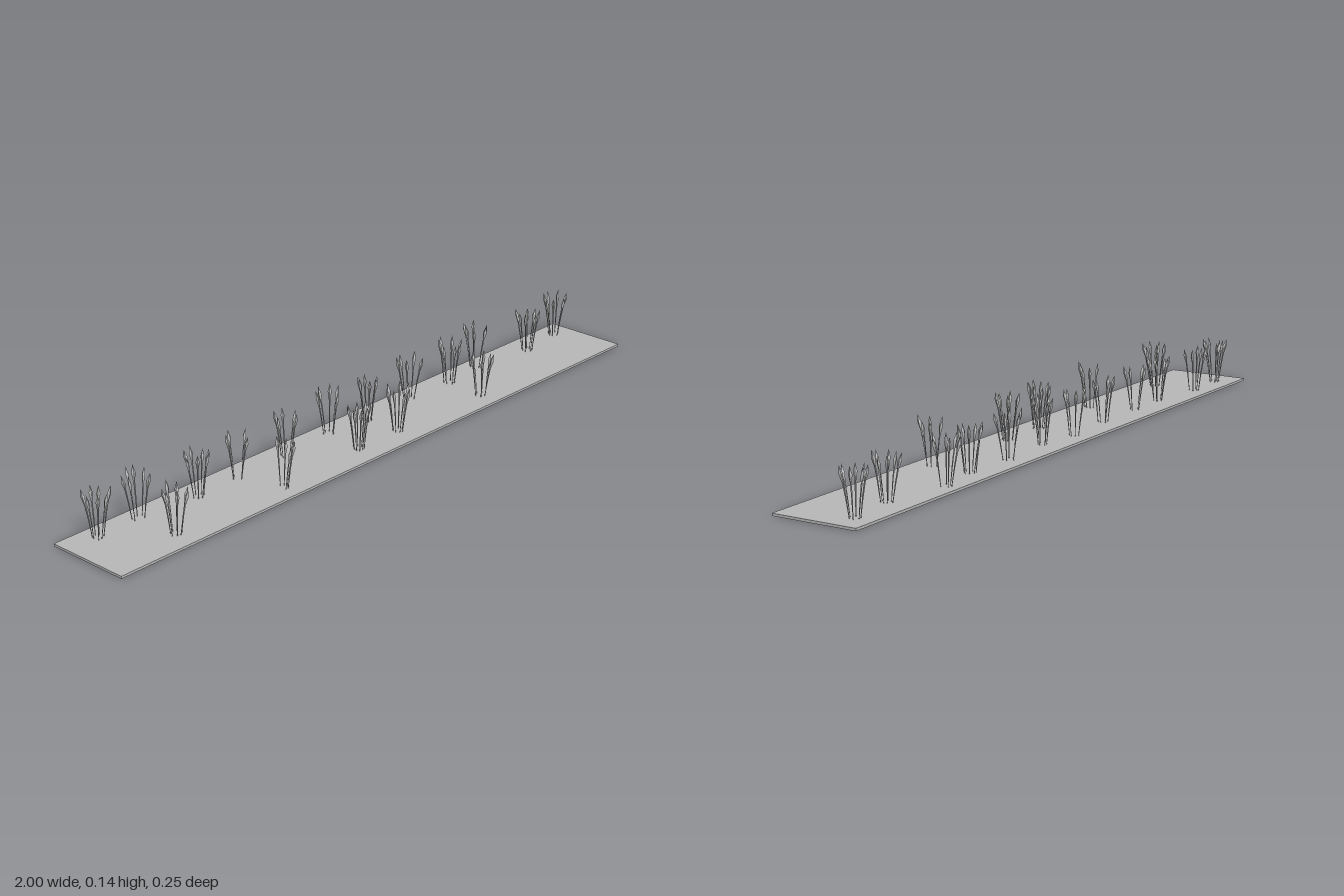
import * as THREE from 'three';

// Tufts: x, z, stalk count, first angle, sweep of the ring (angle 0 = +z)
const TUFTS = [
  [-0.905, -0.07, 7, 0.3, 6.28], [-0.765, -0.075, 6, 0.9, 5.0], [-0.58, -0.052, 7, 0.2, 6.28],
  [-0.435, -0.055, 4, 0.2, 5.5], [-0.25, -0.057, 5, 0.6, 5.2], [-0.065, -0.075, 5, 0.1, 5.6],
  [0.07, -0.055, 6, 0.5, 6.28], [0.26, -0.068, 5, 0.9, 5.4], [0.43, -0.06, 7, 0.4, 6.28],
  [0.57, -0.085, 6, 0.2, 6.28], [0.775, -0.05, 7, 0.6, 6.28], [0.93, -0.072, 7, 0.1, 6.28],
  [-0.76, 0.06, 7, 0.3, 6.28], [-0.395, 0.07, 5, -0.2, 3.8], [-0.085, 0.055, 8, 0.2, 6.28],
  [0.075, 0.053, 7, 0.5, 6.28], [0.42, 0.065, 6, 0.1, 6.28],
];

function seededRandom(seed) {
  return () => {
    seed = (seed * 16807) % 2147483647;
    return seed / 2147483647;
  };
}

export function createModel() {
  const model = new THREE.Group();
  model.name = 'plantedStrip';
  const grey = new THREE.MeshStandardMaterial({ color: 0xb8b8b8, flatShading: true });
  grey.name = 'plain grey';
  const random = seededRandom(41);

  // Thin ground slab
  const slab = new THREE.Mesh(new THREE.BoxGeometry(2, 0.007, 0.25), grey);
  slab.name = 'groundSlab';
  slab.position.y = 0.0035;
  model.add(slab);

  // Four-sided stalk, thin at the foot and swelling into a pointed bud
  const profile = [[0, 0], [0.0009, 0.001], [0.0018, 0.055], [0.0022, 0.092], [0.0055, 0.115], [0, 0.137]]
    .map(([r, y]) => new THREE.Vector2(r, y));
  const stalkShape = new THREE.LatheGeometry(profile, 4);

  // Bend the bud a little further outward than the stem
  const p = stalkShape.attributes.position;
  for (let i = 0; i < p.count; i++) {
    p.setZ(i, p.getZ(i) + 0.006 * (p.getY(i) / 0.137) ** 3);
  }
  stalkShape.computeVertexNormals();

  // Rings of outward-leaning stalks
  for (const [x, z, count, start, sweep] of TUFTS) {
    const tuft = new THREE.Group();
    tuft.name = 'tuft';
    tuft.position.set(x, 0.006, z);
    for (let i = 0; i < count; i++) {
      const angle = start + (i / count) * sweep + (random() - 0.5) * 0.3;
      const foot = 0.011 + random() * 0.006;
      const stalk = new THREE.Mesh(stalkShape, grey);
      stalk.name = 'stalk';
      stalk.rotation.order = 'YXZ';
      stalk.rotation.set(0.08 + random() * 0.07, angle, 0);
      stalk.position.set(Math.sin(angle) * foot, 0, Math.cos(angle) * foot);
      stalk.scale.setScalar(0.92 + random() * 0.1);
      tuft.add(stalk);
    }
    model.add(tuft);
  }
  return model;
}
